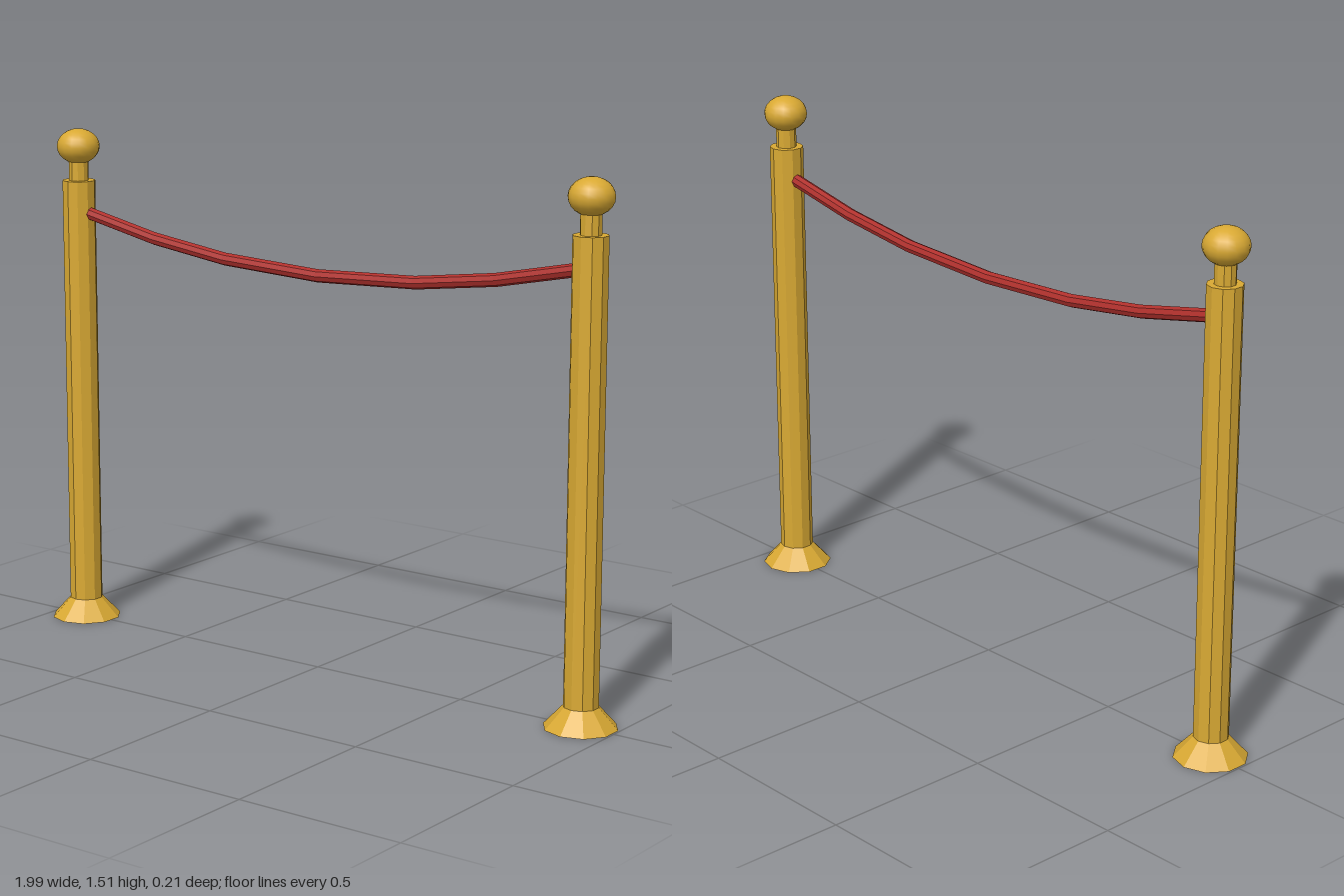
import * as THREE from 'three';

const gold = new THREE.MeshStandardMaterial({ color: 0xd9a933, flatShading: true });
const smoothGold = new THREE.MeshStandardMaterial({ color: 0xd9a933 });
const red = new THREE.MeshStandardMaterial({ color: 0xb0302c, flatShading: true });

const SIDES = 10;
const POST_X = 0.895;

function add(parent, name, geometry, material, y) {
  const mesh = new THREE.Mesh(geometry, material);
  mesh.name = name;
  mesh.position.y = y;
  parent.add(mesh);
  return mesh;
}

// Faceted round section standing between two heights
function column(parent, name, topRadius, bottomRadius, y0, y1) {
  const geometry = new THREE.CylinderGeometry(topRadius, bottomRadius, y1 - y0, SIDES);
  return add(parent, name, geometry, gold, (y0 + y1) / 2);
}

function makePost() {
  const post = new THREE.Group();
  column(post, 'foot', 0.05, 0.105, 0, 0.06);
  column(post, 'shaft', 0.05, 0.05, 0.06, 1.355);
  column(post, 'neck', 0.03, 0.03, 1.355, 1.43);
  // Slightly flattened ball
  const ball = add(post, 'finial', new THREE.SphereGeometry(0.064, 16, 12), smoothGold, 1.457);
  ball.scale.y = 0.82;
  return post;
}

// Sagging rope in straight segments with mitred joints
function makeRope() {
  const half = [[0.335, 1.17], [0.6, 1.205], [0.865, 1.26]];
  const points = [...half.map(([x, y]) => [-x, y]).reverse(), [0, 1.155], ...half]
    .map(([x, y]) => new THREE.Vector3(x, y, 0));
  const segments = points.length - 1;
  const path = new THREE.Curve();
  path.getPoint = (t, target = new THREE.Vector3()) => {
    const i = Math.min(Math.floor(t * segments + 1e-9), segments - 1);
    return target.lerpVectors(points[i], points[i + 1], t * segments - i);
  };
  path.getUtoTmapping = (u) => u; // one ring per joint
  return new THREE.TubeGeometry(path, segments, 0.019, 8, false);
}

export function createModel() {
  const model = new THREE.Group();
  model.name = 'ropeBarrier';
  for (const [name, side] of [['leftPost', 1], ['rightPost', -1]]) {
    const post = makePost();
    post.name = name;
    post.position.x = side * POST_X;
    model.add(post);
  }
  add(model, 'rope', makeRope(), red, 0);
  return model;
}
